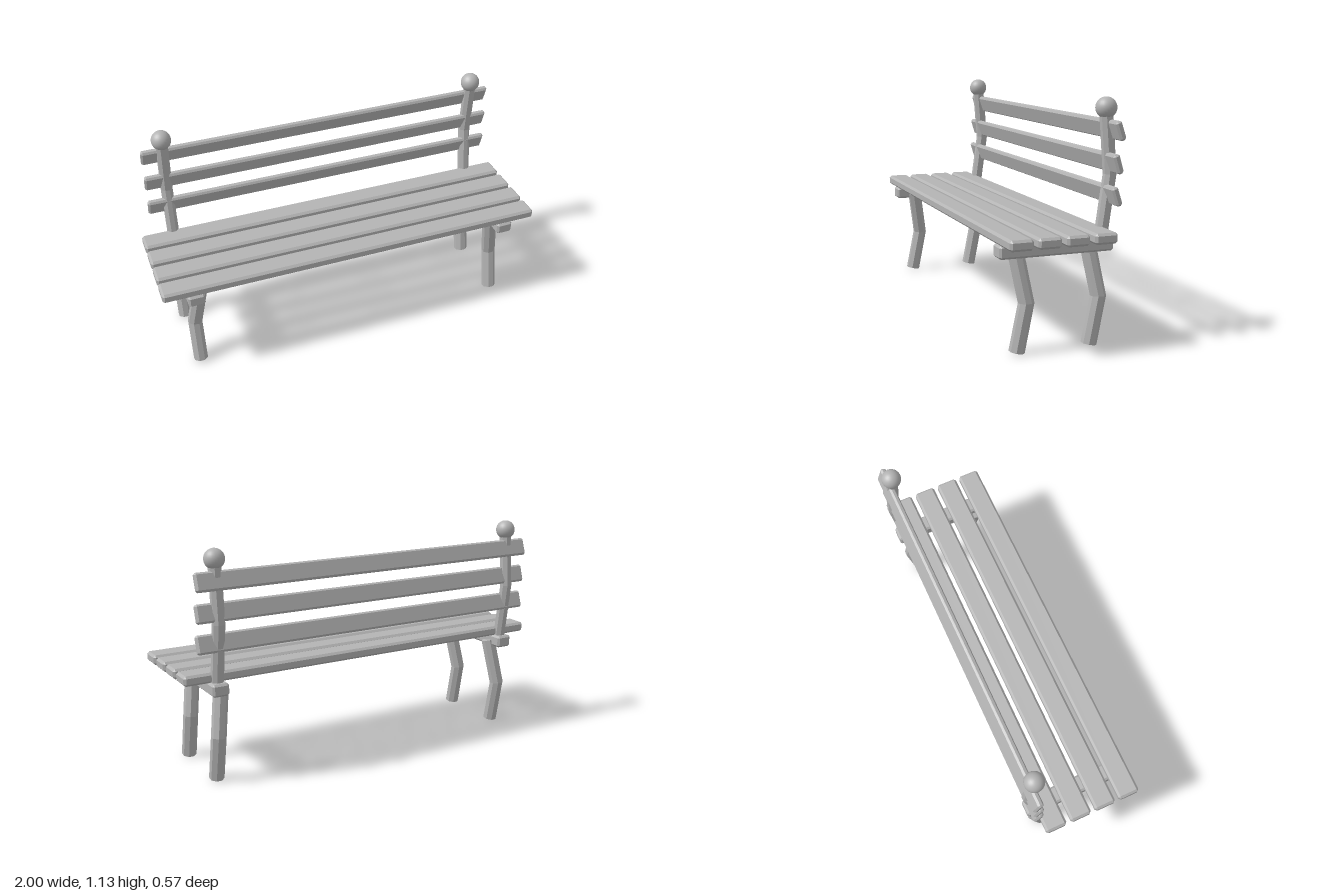
import * as THREE from 'three';
import { ConvexGeometry } from 'three/addons/geometries/ConvexGeometry.js';

const grey = new THREE.MeshStandardMaterial({ color: 0xb4b4b4 });
grey.name = 'grey';

// Box with chamfered edges: hull of three shrunken face rectangles per corner
function chamferBox(w, h, d, c) {
  const pts = [];
  for (const x of [-w / 2, w / 2]) for (const y of [-h / 2, h / 2]) for (const z of [-d / 2, d / 2]) {
    const ix = x - Math.sign(x) * c, iy = y - Math.sign(y) * c, iz = z - Math.sign(z) * c;
    pts.push(new THREE.Vector3(x, iy, iz), new THREE.Vector3(ix, y, iz), new THREE.Vector3(ix, iy, z));
  }
  return new ConvexGeometry(pts);
}

// Faceted bar along a bent path, with mitred joints and closed ends
function bentBar(path, radius, sides = 8) {
  const p = path.map((a) => new THREE.Vector3(...a));
  const pos = [], index = [];
  p.forEach((c, k) => {
    const t = new THREE.Vector3();
    if (k > 0) t.add(c.clone().sub(p[k - 1]).normalize());
    if (k < p.length - 1) t.add(p[k + 1].clone().sub(c).normalize());
    t.normalize();
    const u = new THREE.Vector3(1, 0, 0).addScaledVector(t, -t.x).normalize();
    const v = t.clone().cross(u);
    for (let i = 0; i < sides; i++) {
      const a = ((i + 0.5) / sides) * Math.PI * 2;
      const q = c.clone().addScaledVector(u, Math.cos(a) * radius).addScaledVector(v, Math.sin(a) * radius);
      pos.push(q.x, q.y, q.z);
    }
  });
  const last = (p.length - 1) * sides;
  const base = pos.length / 3;
  pos.push(...p[0].toArray(), ...p[p.length - 1].toArray());
  for (let i = 0; i < sides; i++) {
    const j = (i + 1) % sides;
    for (let k = 0; k < last; k += sides) {
      index.push(k + i, k + j, k + sides + j, k + i, k + sides + j, k + sides + i);
    }
    index.push(base, j, i, base + 1, last + i, last + j);
  }
  const g = new THREE.BufferGeometry();
  g.setAttribute('position', new THREE.Float32BufferAttribute(pos, 3));
  g.setIndex(index);
  const flat = g.toNonIndexed();
  flat.computeVertexNormals();
  return flat;
}

export function createModel() {
  const bench = new THREE.Group();
  bench.name = 'bench';
  const add = (name, geometry, x = 0, y = 0, z = 0) => {
    const mesh = new THREE.Mesh(geometry, grey);
    mesh.name = name;
    mesh.position.set(x, y, z);
    bench.add(mesh);
    return mesh;
  };

  // Seat planks
  const seatGeo = chamferBox(1.995, 0.05, 0.11, 0.011);
  [0.231, 0.1, -0.033, -0.167].forEach((z) => add('seatSlat', seatGeo, 0, 0.53, z));

  // Backrest planks, tops leaning forward
  const backGeo = chamferBox(1.882, 0.09, 0.031, 0.009);
  [[0.991, -0.256, 0.33], [0.845, -0.248, 0.3], [0.701, -0.244, 0.32]].forEach(([y, z, tilt]) => {
    add('backSlat', backGeo, 0, y, z).rotation.x = tilt;
  });

  const supportGeo = chamferBox(0.084, 0.062, 0.553, 0.01);
  const knobGeo = new THREE.SphereGeometry(0.049, 24, 16);
  for (const side of [-1, 1]) {
    const x = side * 0.834;
    const inner = side * 0.797;

    // Cross support under the seat
    add('seatSupport', supportGeo, x, 0.476, 0.011);

    // Bent legs, leaning inward above the knee
    add('frontLeg', bentBar([[x, 0.01, 0.19], [x, 0.232, 0.145], [inner, 0.472, 0.185]], 0.037));
    add('backLeg', bentBar([[x, 0.01, -0.166], [x, 0.232, -0.21], [inner, 0.472, -0.17]], 0.037));

    // Backrest post with round finial
    add('backPost', bentBar([[x, 0.47, -0.211], [x, 0.79, -0.256], [x, 1.06, -0.234]], 0.031));
    add('postKnob', knobGeo, x, 1.087, -0.233);
  }
  return bench;
}
